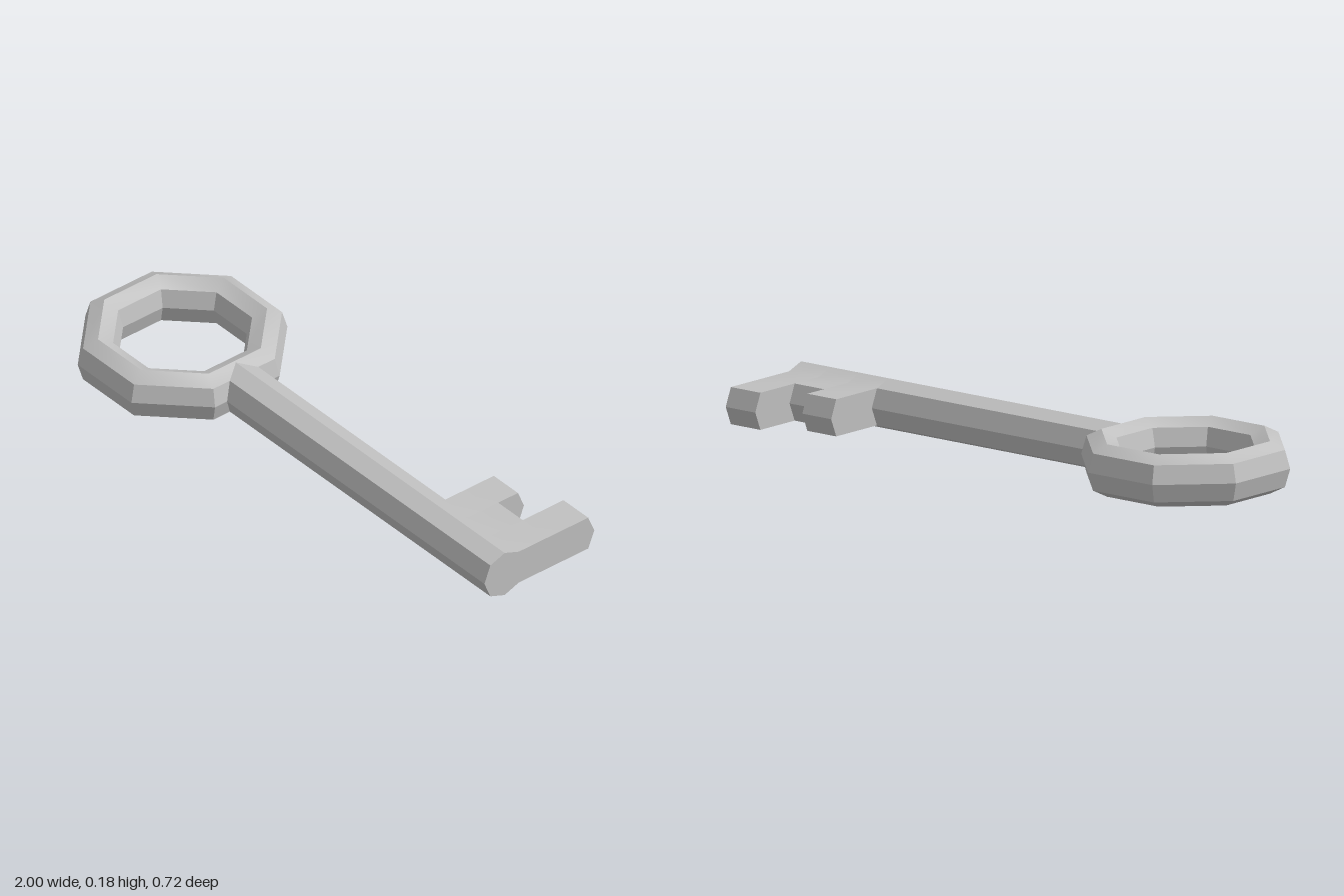
import * as THREE from 'three';
import { toCreasedNormals } from 'three/addons/utils/BufferGeometryUtils.js';

const MID_Y = 0.089; // height of the symmetry plane
const AXIS_Z = 0.025; // centre line of shaft and ring
const CREASE = 0.45;

// Prism along x with a faceted section whose back edge lies at backZ
function bar(name, x0, x1, backZ, material) {
  const section = [
    [0.112, 0], [0.086, 0.063], [AXIS_Z, 0.086], [-0.036, 0.063],
    [backZ + 0.026, 0.063], [backZ, 0], [backZ + 0.026, -0.063],
    [-0.036, -0.063], [AXIS_Z, -0.086], [0.086, -0.063],
  ].filter(([z], i, all) => i === 0 || Math.abs(z - all[i - 1][0]) > 1e-4 || z === backZ);
  const shape = new THREE.Shape(section.map(([z, y]) => new THREE.Vector2(-z, y)));
  const extruded = new THREE.ExtrudeGeometry(shape, { depth: x1 - x0, bevelEnabled: false });
  const geometry = toCreasedNormals(extruded, CREASE);
  geometry.rotateY(Math.PI / 2);
  geometry.translate(x0, MID_Y, 0);
  const mesh = new THREE.Mesh(geometry, material);
  mesh.name = name;
  return mesh;
}

// Octagonal ring with an eight-sided section
function ring(material) {
  const section = [
    [0, -0.089], [0.048, -0.063], [0.065, 0], [0.048, 0.063], [0, 0.089],
    [-0.048, 0.063], [-0.065, 0], [-0.048, -0.063], [0, -0.089],
  ];
  const toCorner = 1 / Math.cos(Math.PI / 8);
  const profile = section.map(([r, y]) => new THREE.Vector2((0.27 + r) * toCorner, y));
  const lathe = new THREE.LatheGeometry(profile, 8, Math.PI / 8);
  const mesh = new THREE.Mesh(toCreasedNormals(lathe, CREASE), material);
  mesh.position.set(-0.665, MID_Y, AXIS_Z);
  mesh.name = 'bowRing';
  return mesh;
}

export function createModel() {
  const steel = new THREE.MeshStandardMaterial({ color: 0xc0c0c0 });
  steel.name = 'steel grey';

  const model = new THREE.Group();
  model.name = 'key';
  model.add(ring(steel), bar('shaft', -0.4, 0.62, -0.062, steel));

  // Bit: two teeth of different length with a notch between them
  const bit = new THREE.Group();
  bit.name = 'bit';
  bit.add(
    bar('shortTooth', 0.62, 0.745, -0.27, steel),
    bar('notch', 0.745, 0.872, -0.185, steel),
    bar('longTooth', 0.872, 1, -0.36, steel),
  );
  model.add(bit);
  return model;
}
